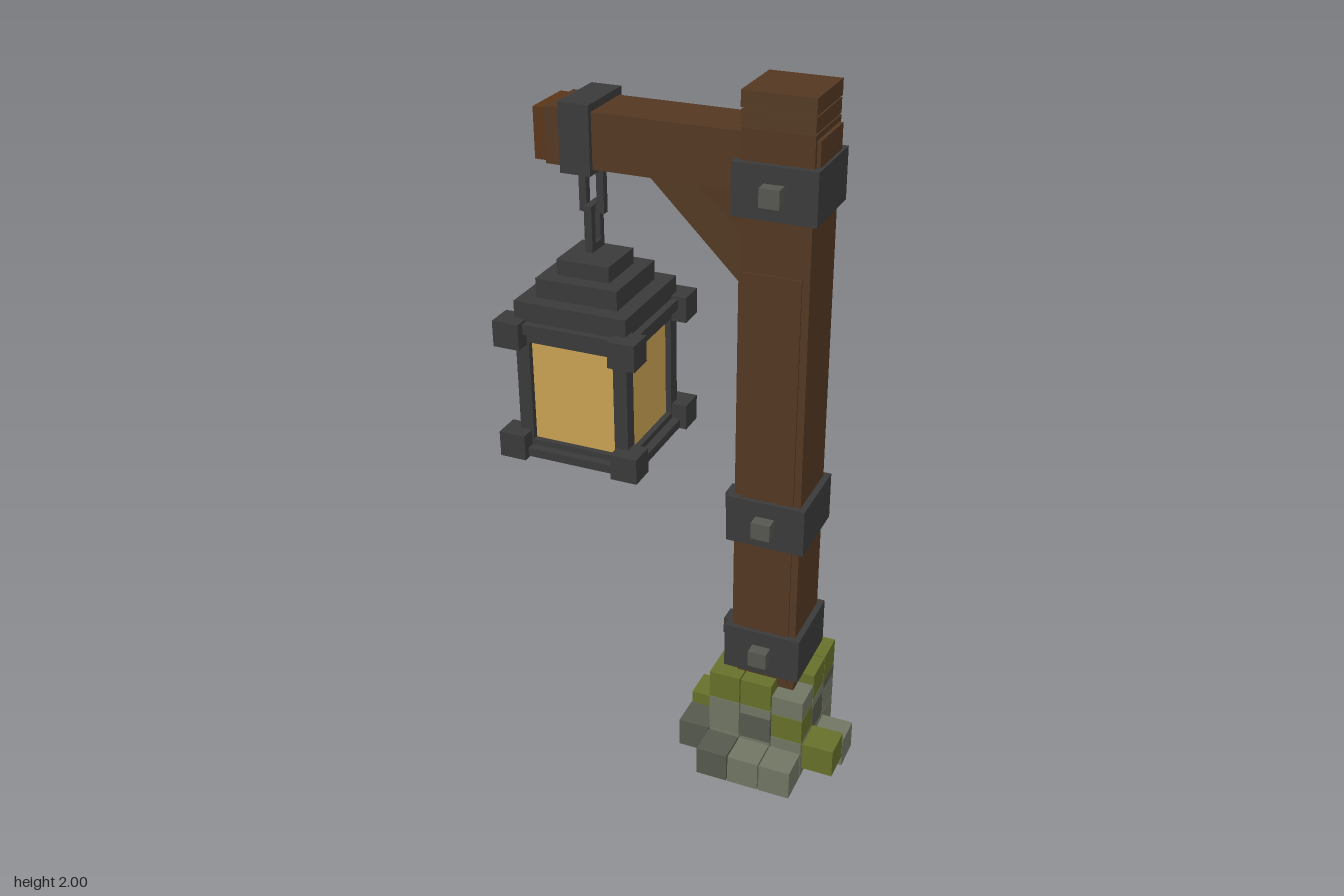
import * as THREE from 'three';

const mat = (name, color) => {
  const m = new THREE.MeshStandardMaterial({ color });
  m.name = name;
  return m;
};

export function createModel() {
  const wood = mat('wood', 0x533822);
  const endWood = mat('endWood', 0x5a3519);
  const iron = mat('iron', 0x3a3a3b);
  const bolt = mat('boltGrey', 0x55574f);
  const glass = mat('amberGlass', 0xc9a352);
  const light = mat('lightStone', 0x717563);
  const dark = mat('darkStone', 0x56594d);
  const moss = mat('moss', 0x66702a);

  const model = new THREE.Group();
  model.name = 'lanternPost';
  const group = (name) => {
    const g = new THREE.Group();
    g.name = name;
    model.add(g);
    return g;
  };
  // Box given by its limits on each axis
  const box = (parent, name, m, [x0, x1], [y0, y1], [z0, z1]) => {
    const mesh = new THREE.Mesh(new THREE.BoxGeometry(x1 - x0, y1 - y0, z1 - z0), m);
    mesh.position.set((x0 + x1) / 2, (y0 + y1) / 2, (z0 + z1) / 2);
    mesh.name = name;
    parent.add(mesh);
    return mesh;
  };
  const around = (c, h) => [c - h, c + h];
  const PX = 0.255, LX = -0.29, CZ = -0.018;

  // Upright post with grooved top and a thin front plank
  const post = group('post');
  const square = (parent, name, m, x, h, y) => box(parent, name, m, around(x, h), y, around(CZ, h));
  square(post, 'postShaft', wood, PX, 0.095, [0.2, 1.91]);
  square(post, 'postCore', wood, PX, 0.091, [1.9, 1.99]);
  square(post, 'postRing', wood, PX, 0.095, [1.915, 1.953]);
  square(post, 'postCap', wood, PX, 0.096, [1.958, 2]);
  box(post, 'frontPlank', wood, around(PX, 0.075), [0.29, 1.54], [0.07, 0.082]);

  // Iron bands with bolts on the front and the lantern side
  const bands = group('bands');
  for (const y of [0.385, 0.815, 1.758]) {
    square(bands, 'band', iron, PX, 0.1125, around(y, 0.07));
    box(bands, 'frontBolt', bolt, around(PX, 0.027), around(y, 0.025), [0.09, 0.13]);
    box(bands, 'sideBolt', iron, [0.106, 0.145], around(y, 0.025), around(CZ, 0.027));
  }

  // Horizontal beam, its stepped end and strap
  const arm = group('arm');
  box(arm, 'beam', wood, [-0.38, 0.36], [1.745, 1.895], around(CZ, 0.083));
  box(arm, 'beamEnd', endWood, [-0.415, -0.38], [1.751, 1.889], around(CZ, 0.077));
  box(arm, 'strap', iron, around(LX, 0.043), [1.73, 1.915], around(CZ, 0.097));

  // Diagonal brace under the beam
  const braceShape = new THREE.Shape([[-0.105, 1.75], [0.17, 1.476], [0.17, 1.611], [0.02, 1.75]]
    .map(([x, y]) => new THREE.Vector2(x, y)));
  const brace = new THREE.Mesh(
    new THREE.ExtrudeGeometry(braceShape, { depth: 0.13, bevelEnabled: false }), wood);
  brace.position.z = CZ - 0.065;
  brace.name = 'brace';
  arm.add(brace);

  // Two square chain links, the second turned a quarter
  const chain = group('chain');
  const link = (y0, y1, turn) => {
    const w = 0.036, i = 0.015, t = 0.022;
    const s = new THREE.Shape([[-w, y0], [w, y0], [w, y1], [-w, y1]]
      .map(([x, y]) => new THREE.Vector2(x, y)));
    s.holes.push(new THREE.Path([[-i, y0 + t], [-i, y1 - t], [i, y1 - t], [i, y0 + t]]
      .map(([x, y]) => new THREE.Vector2(x, y))));
    const g = new THREE.ExtrudeGeometry(s, { depth: 0.022, bevelEnabled: false });
    g.translate(0, 0, -0.011);
    const mesh = new THREE.Mesh(g, iron);
    mesh.rotation.y = turn;
    mesh.position.set(LX, 0, CZ);
    mesh.name = 'chainLink';
    chain.add(mesh);
  };
  link(1.6, 1.735, 0);
  link(1.495, 1.625, Math.PI / 2);

  // Lantern: stepped roof, frame, glass and base
  const lantern = group('lantern');
  for (const [h, y0, y1] of [[0.077, 1.435, 1.48], [0.12, 1.38, 1.435], [0.165, 1.33, 1.38]]) {
    square(lantern, 'roofStep', iron, LX, h, [y0, y1]);
  }
  square(lantern, 'topFrame', iron, LX, 0.165, [1.265, 1.33]);
  square(lantern, 'topRim', iron, LX, 0.185, [1.295, 1.325]);
  square(lantern, 'glass', glass, LX, 0.148, [0.96, 1.27]);
  square(lantern, 'bottomFrame', iron, LX, 0.165, [0.925, 0.967]);
  square(lantern, 'bottomRim', iron, LX, 0.19, [0.925, 0.95]);
  square(lantern, 'bottomBoard', wood, LX, 0.147, [0.91, 0.93]);
  for (const sx of [-1, 1]) for (const sz of [-1, 1]) {
    const at = (o, h) => [around(LX + sx * o, h), around(CZ + sz * o, h)];
    const [px, pz] = at(0.145, 0.02);
    box(lantern, 'cornerPost', iron, px, [0.95, 1.3], pz);
    const [bx, bz] = at(0.17, 0.039);
    box(lantern, 'topCorner', iron, bx, [1.257, 1.332], bz);
    box(lantern, 'bottomCorner', iron, bx, [0.92, 0.995], bz);
  }

  // Stone footing: 3 x 3 stacks, letters give each stone's colour (rows back to front)
  const base = group('stoneBase');
  const colours = { L: light, D: dark, M: moss };
  const stone = (i, k, y, key) => {
    const x = 0.11 + i * 0.0965, z = -0.163 + k * 0.0975;
    box(base, 'stone', colours[key], [x + 0.001, x + 0.0935], y, [z + 0.001, z + 0.0945]);
  };
  const layers = [
    [[0, 0.093], ['LDL', 'DLL', 'LLL']],
    [[0.095, 0.18], ['DLL', 'LDD', 'LDL']],
    [[0.18, 0.211], ['LLD', 'LLL', 'LLL']],
    [[0.213, 0.3], ['MMM', 'MMM', 'MM-']],
  ];
  for (const [y, rows] of layers) {
    rows.forEach((row, k) => [...row].forEach((key, i) => {
      const frontRight = i === 2 && k === 2 && y[0] > 0;
      if (!frontRight) stone(i, k, y, key);
    }));
  }
  // Front right stack, with its own heights
  stone(2, 2, [0.093, 0.123], 'L');
  stone(2, 2, [0.125, 0.205], 'M');
  stone(2, 2, [0.207, 0.27], 'L');

  // Loose stones around the footing
  stone(0, 3, [0, 0.09], 'D');
  stone(1, 3, [0, 0.09], 'L');
  stone(2, 3, [0, 0.09], 'L');
  stone(-1, 2, [0, 0.09], 'D');
  stone(-1, 1, [0.035, 0.125], 'M');
  stone(3, 1, [0, 0.09], 'L');
  stone(3, 2, [0.037, 0.125], 'M');

  return model;
}
